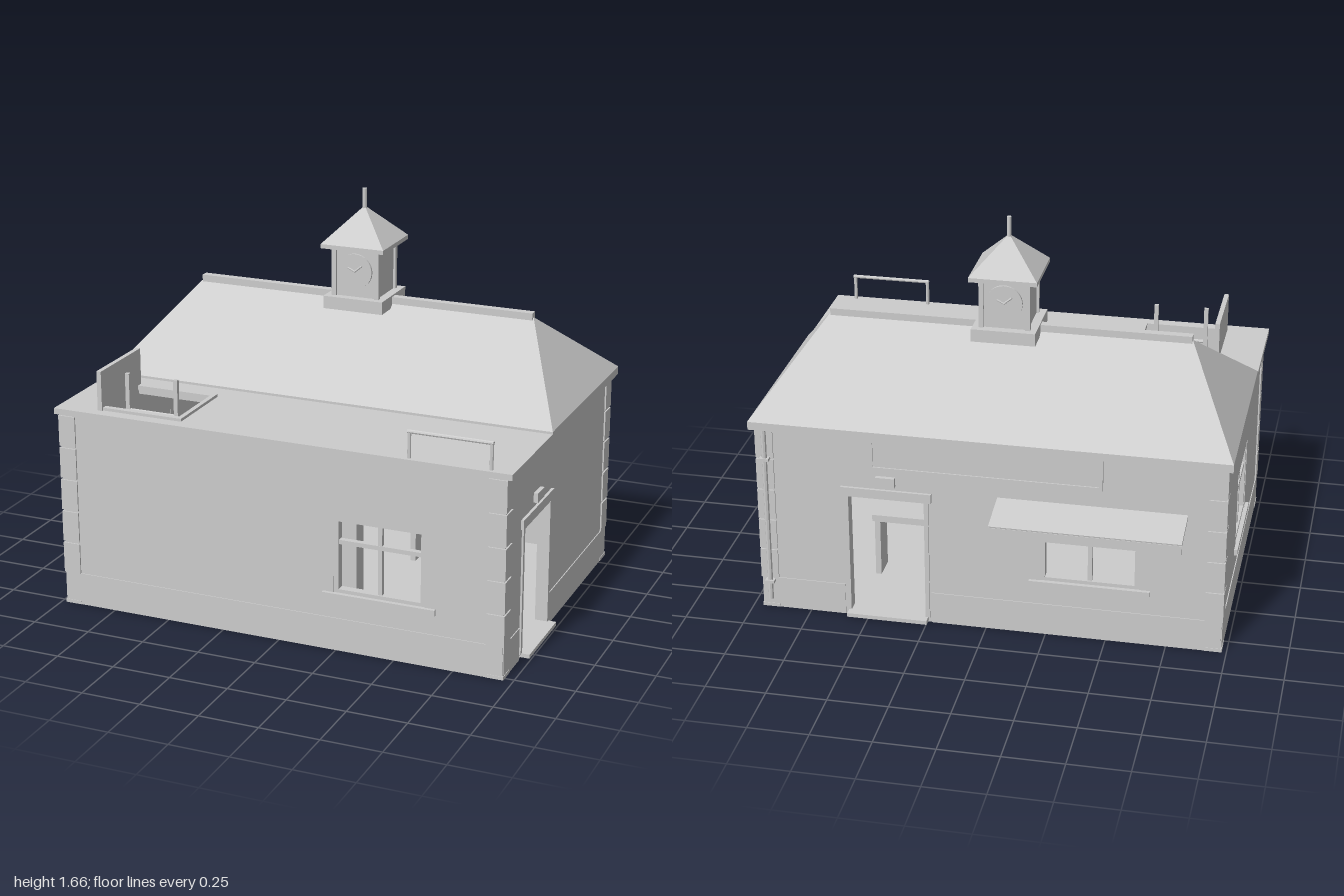
import * as THREE from 'three';

const stone = new THREE.MeshStandardMaterial({ color: 0xcccccc });
stone.name = 'pale grey';
stone.flatShading = true;

function add(parent, name, geometry, x = 0, y = 0, z = 0) {
  const mesh = new THREE.Mesh(geometry, stone);
  mesh.name = name;
  mesh.position.set(x, y, z);
  parent.add(mesh);
  return mesh;
}

// Box given by its extents on each axis
function box(parent, name, x0, x1, y0, y1, z0, z1) {
  return add(parent, name, new THREE.BoxGeometry(x1 - x0, y1 - y0, z1 - z0),
    (x0 + x1) / 2, (y0 + y1) / 2, (z0 + z1) / 2);
}

// Flat plate with rectangular holes, extruded along +z
function plate(u0, u1, v0, v1, depth, holes) {
  const rect = (T, a, b, c, d) => {
    const p = new T();
    p.moveTo(a, c); p.lineTo(b, c); p.lineTo(b, d); p.lineTo(a, d); p.closePath();
    return p;
  };
  const shape = rect(THREE.Shape, u0, u1, v0, v1);
  holes.forEach(h => shape.holes.push(rect(THREE.Path, ...h)));
  return new THREE.ExtrudeGeometry(shape, { depth, bevelEnabled: false });
}

// Round bar between two points
function bar(parent, name, a, b, r) {
  const from = new THREE.Vector3(...a), to = new THREE.Vector3(...b);
  const mesh = add(parent, name, new THREE.CylinderGeometry(r, r, from.distanceTo(to), 8));
  mesh.position.copy(from).add(to).multiplyScalar(0.5);
  mesh.quaternion.setFromUnitVectors(new THREE.Vector3(0, 1, 0), to.sub(from).normalize());
  return mesh;
}

// Group on a wall: local z = 0 is the outer wall face
function onWall(parent, name, x, z, angle) {
  const g = new THREE.Group();
  g.name = name;
  g.position.set(x, 0, z);
  g.rotation.y = angle;
  parent.add(g);
  return g;
}

function windowUnit(parent, name, x, z, angle, w) {
  const g = onWall(parent, name, x, z, angle), h = w / 2;
  add(g, 'windowFrame', plate(-h, h, 0.25, 0.575, 0.035, [[-h + 0.02, h - 0.02, 0.265, 0.555]]), 0, 0, -0.038);
  box(g, 'mullion', -0.009, 0.009, 0.25, 0.57, -0.03, -0.01);
  box(g, 'transom', -h, h, 0.457, 0.475, -0.032, -0.008);
  box(g, 'sill', -h - 0.045, h + 0.045, 0.225, 0.25, -0.03, 0.015);
}

function doorway(parent, name, x, z, angle) {
  const g = onWall(parent, name, x, z, angle);
  for (const s of [-1, 1]) box(g, 'doorJamb', s * 0.168 - 0.009, s * 0.168 + 0.009, 0.02, 0.565, -0.045, 0.008);
  box(g, 'lintel', -0.19, 0.19, 0.56, 0.6, -0.03, 0.012);
  box(g, 'threshold', -0.17, 0.17, 0.008, 0.025, -0.05, 0.043);
  box(g, 'doorLamp', -0.04, 0.04, 0.62, 0.66, -0.01, 0.018);
}

function hipRoof(x0, x1, z0, z1, y, rx0, rx1, ry) {
  const zm = (z0 + z1) / 2;
  const a = [x0, y, z1], b = [x1, y, z1], c = [x1, y, z0], d = [x0, y, z0], e = [rx0, ry, zm], f = [rx1, ry, zm];
  const faces = [a, b, f, a, f, e, b, c, f, c, d, e, c, e, f, d, a, e];
  const g = new THREE.BufferGeometry();
  g.setAttribute('position', new THREE.Float32BufferAttribute(faces.flat(), 3));
  g.computeVertexNormals();
  return g;
}

export function createModel() {
  const model = new THREE.Group();
  model.name = 'stationBuilding';
  const L = -0.975, R = 0.955, F = 0.765, B = -0.585, T = 0.04, top = 0.84;

  // Floor and walls with openings
  box(model, 'floor', L + 0.005, R - 0.005, 0, 0.02, B + 0.005, F - 0.005);
  add(model, 'frontWall', plate(L, R, 0, top, T, [[0.24, 0.63, 0.25, 0.575]]), 0, 0, F - T);
  add(model, 'backWall', plate(L, R, 0, top, T, [[0.24, 0.59, 0.02, 0.57], [-0.635, -0.225, 0.25, 0.575]]), 0, 0, B);
  const side = (holes) => plate(-F + T, -B - T, 0, top, T, holes).rotateY(Math.PI / 2);
  add(model, 'doorEndWall', side([[-0.565, -0.215, 0.02, 0.57]]), R - T, 0, 0);
  add(model, 'windowEndWall', side([[-0.22, 0.13, 0.25, 0.575]]), L, 0, 0);

  // Shallow plinth, broken at the doors
  const p = 0.004;
  box(model, 'plinth', L, R, 0, 0.14, F, F + p);
  box(model, 'plinth', L, 0.23, 0, 0.14, B - p, B);
  box(model, 'plinth', 0.6, R, 0, 0.14, B - p, B);
  box(model, 'plinth', L - p, L, 0, 0.14, B, F);
  box(model, 'plinth', R, R + p, 0, 0.14, B, 0.205);
  box(model, 'plinth', R, R + p, 0, 0.14, 0.575, F);

  // Corner stones
  for (const x of [L + 0.031, R - 0.031]) for (const z of [F - 0.031, B + 0.031]) {
    add(model, 'cornerFoot', new THREE.BoxGeometry(0.074, 0.015, 0.074), x, 0.0075, z);
    for (let i = 0; i < 5; i++) {
      add(model, 'cornerStone', new THREE.BoxGeometry(0.075, 0.132, 0.075), x, 0.205 + i * 0.14, z);
    }
  }

  // Windows and doors
  windowUnit(model, 'frontWindow', 0.435, F, 0, 0.39);
  windowUnit(model, 'backWindow', -0.43, B, Math.PI, 0.41);
  windowUnit(model, 'endWindow', L, 0.045, -Math.PI / 2, 0.35);
  doorway(model, 'endDoor', R, 0.39, Math.PI / 2);
  doorway(model, 'backDoor', 0.415, B, Math.PI);

  // Framed board under the back eaves
  box(model, 'boardPanel', -0.47, 0.47, 0.7, 0.82, B - 0.008, B);
  add(model, 'boardFrame', plate(-0.48, 0.48, 0.69, 0.83, 0.014, [[-0.465, 0.465, 0.705, 0.815]]), 0, 0, B - 0.014);

  // Awning with lip and brackets
  const slope = Math.atan2(0.035, 0.185);
  const awning = add(model, 'awning', new THREE.BoxGeometry(0.775, 0.012, 0.188), -0.437, 0.592, -0.681);
  awning.rotation.x = -slope;
  box(model, 'awningLip', -0.825, -0.05, 0.535, 0.575, -0.776, -0.768);
  for (const x of [-0.78, -0.095]) bar(model, 'awningBracket', [x, 0.51, B], [x, 0.572, -0.765], 0.007);

  // Drainpipe
  bar(model, 'drainpipe', [0.92, 0.045, -0.602], [0.92, 0.84, -0.602], 0.011);
  for (const y of [0.13, 0.7]) box(model, 'pipeBracket', 0.9, 0.94, y - 0.006, y + 0.006, -0.617, B);

  // Flat front roof with hatch opening
  const flat = plate(-1, 0.98, -0.772, -0.27, 0.025, [[-0.8, -0.46, -0.7, -0.41]]).rotateX(-Math.PI / 2);
  add(model, 'flatRoof', flat, 0, 0.835, 0).scale.z = -1;
  flat.scale(1, 1, -1);
  const order = flat.attributes.position;
  for (let i = 0; i < order.count; i += 3) {
    // Reversed twice by the mirrored mesh, so keep corner order outward
    const v = [0, 1, 2].map(k => [order.getX(i + k), order.getY(i + k), order.getZ(i + k)]);
    [v[0], v[2], v[1]].forEach((q, k) => order.setXYZ(i + k, ...q));
  }
  flat.computeVertexNormals();

  // Hatch curb, open lid and ladder
  box(model, 'hatchCurb', -0.82, -0.445, 0.855, 0.872, 0.385, 0.415);
  box(model, 'hatchCurb', -0.82, -0.445, 0.855, 0.872, 0.695, 0.72);
  box(model, 'hatchCurb', -0.465, -0.445, 0.855, 0.872, 0.415, 0.695);
  box(model, 'hatchLid', -0.82, -0.8, 0.86, 1.028, 0.387, 0.728);
  for (const x of [-0.735, -0.515]) box(model, 'ladderRail', x - 0.009, x + 0.009, 0.02, 0.998, 0.612, 0.628);
  for (let y = 0.12; y < 0.86; y += 0.12) bar(model, 'ladderRung', [-0.735, y, 0.62], [-0.515, y, 0.62], 0.008);

  // Roof railing
  for (const x of [0.552, 0.888]) bar(model, 'railPost', [x, 0.855, 0.75], [x, 0.97, 0.75], 0.008);
  bar(model, 'railTop', [0.545, 0.968, 0.75], [0.896, 0.968, 0.75], 0.008);

  // Hipped roof with ridge cap
  box(model, 'eaves', -1, 0.98, 0.835, 0.87, -0.62, 0.285);
  add(model, 'hipRoof', hipRoof(-1, 0.98, -0.62, 0.285, 0.87, -0.77, 0.74, 1.19));
  box(model, 'ridgeCap', -0.77, 0.74, 1.18, 1.21, -0.185, -0.15);

  // Clock tower
  const tower = new THREE.Group();
  tower.name = 'clockTower';
  tower.position.set(-0.014, 0, -0.167);
  model.add(tower);
  box(tower, 'towerBase', -0.133, 0.133, 1.163, 1.217, -0.133, 0.133);
  box(tower, 'towerBody', -0.096, 0.096, 1.21, 1.43, -0.096, 0.096);
  for (const x of [-0.096, 0.096]) for (const z of [-0.096, 0.096]) {
    box(tower, 'towerPost', x - 0.01, x + 0.01, 1.21, 1.43, z - 0.01, z + 0.01);
  }
  box(tower, 'towerEaves', -0.141, 0.141, 1.425, 1.443, -0.141, 0.141);
  add(tower, 'towerRoof', new THREE.ConeGeometry(0.141 * Math.SQRT2, 0.147, 4, 1, true).rotateY(Math.PI / 4), 0, 1.5165, 0);
  bar(tower, 'spire', [0, 1.57, 0], [0, 1.665, 0], 0.01);
  for (const angle of [0, Math.PI]) {
    const clock = new THREE.Group();
    clock.name = 'clock';
    clock.rotation.y = angle;
    tower.add(clock);
    add(clock, 'clockFace', new THREE.CylinderGeometry(0.075, 0.075, 0.012, 32).rotateX(Math.PI / 2), 0, 1.33, 0.1);
    bar(clock, 'minuteHand', [0, 1.33, 0.109], [0.033, 1.358, 0.109], 0.004);
    bar(clock, 'hourHand', [0, 1.33, 0.109], [-0.03, 1.345, 0.109], 0.004);
  }

  // Interior counter and bench
  box(model, 'counter', -0.5, 0.15, 0.02, 0.41, 0.235, 0.31);
  box(model, 'counterTop', -0.52, 0.17, 0.41, 0.43, 0.225, 0.32);
  box(model, 'benchSeat', 0.2, 0.56, 0.28, 0.31, -0.28, -0.15);
  for (const x of [0.22, 0.54]) box(model, 'benchLeg', x - 0.012, x + 0.012, 0.02, 0.28, -0.27, -0.16);

  return model;
}
